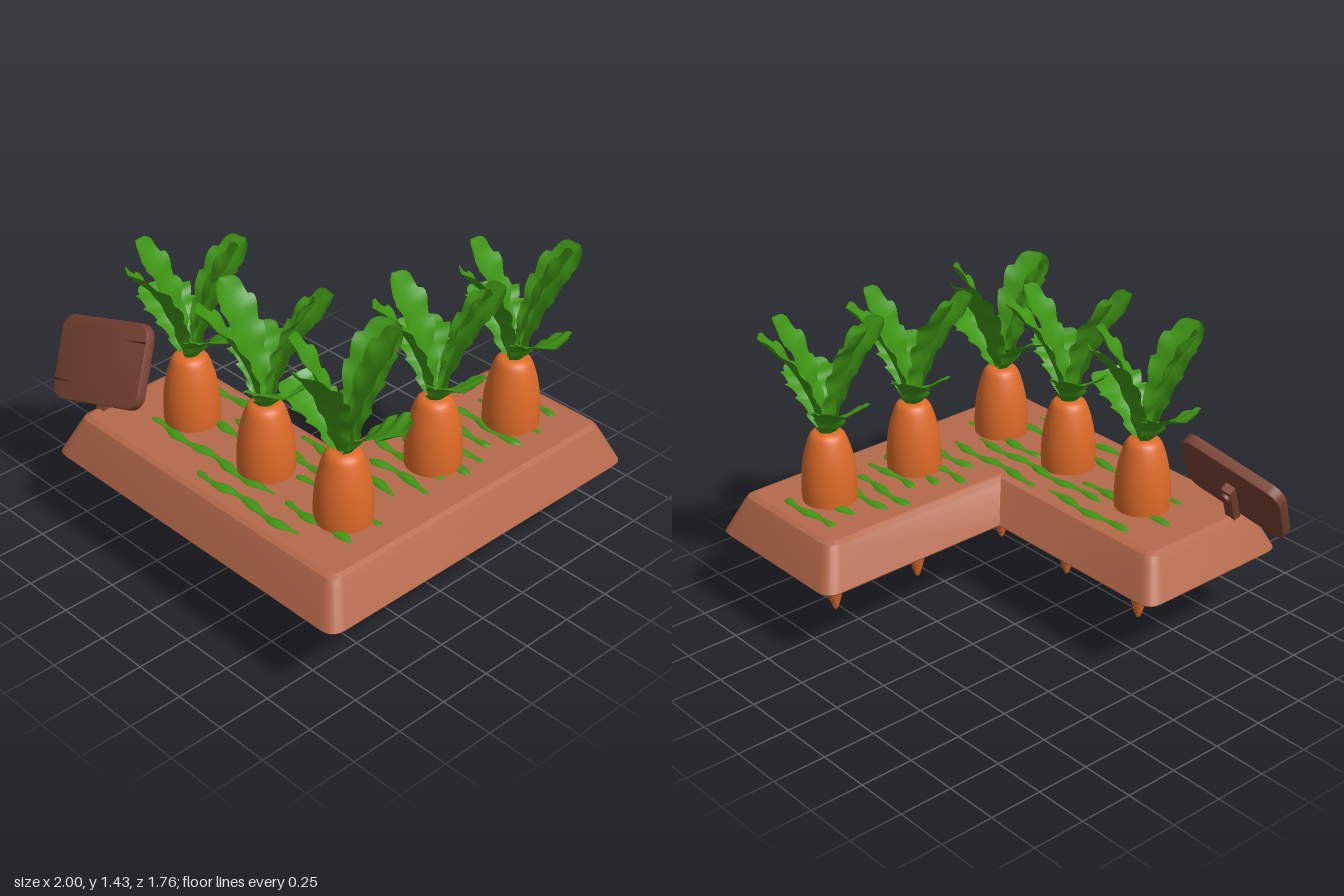
import * as THREE from 'three';
import { toCreasedNormals } from 'three/addons/utils/BufferGeometryUtils.js';

const paint = (color) => new THREE.MeshStandardMaterial({ color, side: THREE.DoubleSide });
const SOIL = paint(0xb5694a), WOOD = paint(0x784232), DARK = paint(0x3a1c14);
const CARROT = paint(0xdd6a28), LEAF = paint(0x3f9614);

function add(parent, name, geometry, material) {
  const mesh = new THREE.Mesh(geometry, material);
  mesh.name = name;
  parent.add(mesh);
  return mesh;
}

// Surface through a grid of points given by at(i, j)
function gridGeometry(rows, cols, at) {
  const pos = [], index = [];
  for (let i = 0; i <= rows; i++) {
    for (let j = 0; j <= cols; j++) {
      pos.push(...at(i, j));
      if (i < rows && j < cols) {
        const a = i * (cols + 1) + j, b = a + cols + 1;
        index.push(a, a + 1, b, a + 1, b + 1, b);
      }
    }
  }
  const g = new THREE.BufferGeometry();
  g.setAttribute('position', new THREE.Float32BufferAttribute(pos, 3));
  g.setIndex(index);
  g.computeVertexNormals();
  return g;
}

// L-shaped outline in x and z, moved inwards, with rounded outer corners
function outline(d, r) {
  const corners = [
    [-0.76 + d, 0.88 - d], [1 - d, 0.88 - d], [1 - d, -0.88 + d],
    [0.2 + d, -0.88 + d], [0.2 + d, 0.08 + d], [-0.76 + d, 0.08 + d],
  ].map(([x, z]) => new THREE.Vector2(x, z));
  const points = [];
  corners.forEach((c, i) => {
    const toward = (p) => c.clone().add(p.clone().sub(c).setLength(i === 4 ? 0.002 : r));
    const curve = new THREE.QuadraticBezierCurve(
      toward(corners[(i + 5) % 6]), c, toward(corners[(i + 1) % 6]));
    points.push(...curve.getPoints(5));
  });
  return points;
}

function addSoil(parent) {
  const levels = [[0.39, 0.005, 0.07], [0.398, 0, 0.07], [0.55, 0.068, 0.06],
    [0.576, 0.082, 0.055], [0.587, 0.105, 0.045]];
  const rings = levels.map(([, d, r]) => outline(d, r));
  const n = rings[0].length;
  const wall = gridGeometry(levels.length - 1, n, (i, j) => {
    const p = rings[i][j % n];
    return [p.x, levels[i][0], p.y];
  });
  add(parent, 'soilSides', toCreasedNormals(wall, 0.6), SOIL);
  const cap = (ring, y, turn) => {
    const s = new THREE.Shape(ring.map((p) => new THREE.Vector2(p.x, -turn * p.y)));
    return new THREE.ShapeGeometry(s).rotateX(-turn * Math.PI / 2).translate(0, y, 0);
  };
  add(parent, 'soilTop', cap(rings[4], 0.587, 1), SOIL);
  add(parent, 'soilBottom', cap(rings[0], 0.39, -1), SOIL);
}

// Arching blade with a folded middle and toothed edges, growing along +x
function leafGeometry(path, width) {
  const curve = new THREE.CatmullRomCurve3(path.map(([x, y]) => new THREE.Vector3(x, y, 0)));
  const rows = 40, cols = 6;
  return gridGeometry(rows, cols, (i, j) => {
    const t = i / rows, u = (j / cols) * 2 - 1;
    const p = curve.getPoint(t), tan = curve.getTangent(t);
    const teeth = 0.84 + 0.22 * ((t * 5 + 0.1 * Math.sign(u) + 1) % 1);
    const round = Math.sqrt(Math.max(0, 1 - Math.pow(Math.max(0, (t - 0.72) / 0.28), 2.6)));
    const w = width * (0.22 + 0.78 * Math.min(1, Math.pow(t / 0.62, 0.8))) * teeth * round;
    const lift = w * 0.25 * u * u + 0.006 * Math.sin(t * 28) * Math.abs(u);
    return [p.x - tan.y * lift, p.y + tan.x * lift, u * w];
  });
}

const tallLeaf = leafGeometry([[0.02, 0.89], [0.07, 1.07], [0.16, 1.25], [0.285, 1.39]], 0.115);
const steepLeaf = leafGeometry([[0.01, 0.89], [0.05, 1.08], [0.12, 1.27], [0.22, 1.43]], 0.1);
const lowLeaf = leafGeometry([[0.02, 0.89], [0.11, 1.01], [0.2, 1.075], [0.305, 1.115]], 0.125);

// Each leaf: shape, then its direction in x and z
const LEAVES = [
  [lowLeaf, -0.26, -0.05], [lowLeaf, 0.28, 0.04],
  [tallLeaf, -0.03, 0.28], [tallLeaf, 0.06, -0.29],
  [steepLeaf, -0.19, 0.12], [steepLeaf, 0.14, -0.15],
];

const rootGeometry = new THREE.LatheGeometry(new THREE.SplineCurve([
  [0.001, 0.002], [0.014, 0.02], [0.036, 0.1], [0.062, 0.22], [0.096, 0.39],
  [0.117, 0.52], [0.125, 0.64], [0.116, 0.76], [0.092, 0.86], [0.064, 0.91], [0.001, 0.918],
].map(([x, y]) => new THREE.Vector2(x, y))).getPoints(40), 32);

function addPlant(parent, x, z, turn) {
  const plant = new THREE.Group();
  plant.name = 'carrotPlant';
  plant.position.set(x, 0, z);
  plant.rotation.y = turn;
  add(plant, 'root', rootGeometry, CARROT);
  add(plant, 'stalk', new THREE.CylinderGeometry(0.024, 0.034, 0.06, 12), LEAF).position.y = 0.93;
  for (const [geometry, dx, dz] of LEAVES) {
    add(plant, 'leaf', geometry, LEAF).rotation.y = Math.atan2(-dz, dx);
  }
  parent.add(plant);
}

// Wavy strip of flat grass along x
function addGrass(parent, x0, x1, z) {
  const rows = Math.ceil((x1 - x0) / 0.02), cols = 6;
  const g = gridGeometry(rows, cols, (i, j) => {
    const t = i / rows, x = x0 + (x1 - x0) * t, a = (j / cols) * Math.PI;
    const end = Math.sqrt(Math.max(0, 1 - Math.pow(2 * t - 1, 6)));
    const w = (0.02 + 0.007 * Math.sin(x * 38 + z * 20)) * end;
    return [x, 0.585 + 0.55 * w * Math.sin(a), z + 0.01 * Math.sin(x * 17 + z * 9) - w * Math.cos(a)];
  });
  add(parent, 'grassStrip', g, LEAF);
}

function addSign(parent) {
  const sign = new THREE.Group();
  sign.name = 'sign';
  sign.position.set(-0.71, 0.77, 0.63);
  sign.rotation.set(-0.53, 0, 0.29);
  const a = 0.265, b = 0.189, r = 0.07, t = 0.04;
  const s = new THREE.Shape();
  s.absarc(a - r, b - r, r, 0, Math.PI / 2);
  s.absarc(r - a, b - r, r, Math.PI / 2, Math.PI);
  s.absarc(r - a, r - b, r, Math.PI, Math.PI * 1.5);
  s.absarc(a - r, r - b, r, Math.PI * 1.5, Math.PI * 2);
  const board = new THREE.ExtrudeGeometry(s, {
    depth: t, curveSegments: 6, bevelSize: 0.006, bevelThickness: 0.006, bevelOffset: -0.006, bevelSegments: 2,
  }).translate(0, 0, -t / 2);
  add(sign, 'board', toCreasedNormals(board, 0.6), WOOD);
  // Cracks in the board
  for (const side of [1, -1]) {
    const crack = new THREE.Shape([[0.262, 0.1], [0.13, 0.108], [0.262, 0.109]]
      .map(([x, y]) => new THREE.Vector2(x * side, y * side)));
    add(sign, 'crack', new THREE.ShapeGeometry(crack), DARK).position.z = t / 2 + 0.0075;
  }
  add(sign, 'post', new THREE.BoxGeometry(0.05, 0.31, 0.04), WOOD).position.set(0, -0.11, -0.045);
  const nail = add(sign, 'nail', new THREE.CylinderGeometry(0.022, 0.022, 0.02, 16), WOOD);
  nail.rotation.x = Math.PI / 2;
  nail.position.set(0, 0, -0.07);
  parent.add(sign);
}

export function createModel() {
  const model = new THREE.Group();
  model.name = 'carrotBed';
  addSoil(model);
  const plants = [[-0.325, 0.455, 0], [0.175, 0.475, -0.35], [0.64, 0.475, 0.25],
    [0.62, -0.065, -0.3], [0.635, -0.53, -0.15]];
  for (const [x, z, turn] of plants) addPlant(model, x, z, turn);
  const strips = [
    [-0.47, 0.05, 0.23], [0.1, 0.7, 0.22], [-0.2, 0.65, 0.33], [-0.55, 0.0, 0.4], [0.3, 0.8, 0.42],
    [-0.45, 0.35, 0.59], [0.4, 0.8, 0.58], [-0.01, 0.62, 0.7], [0.42, 0.78, 0.11], [0.33, 0.75, 0],
    [0.4, 0.8, -0.1], [0.45, 0.78, -0.2], [0.33, 0.72, -0.32], [0.37, 0.8, -0.42],
    [0.42, 0.8, -0.56], [0.4, 0.75, -0.69],
  ];
  for (const [x0, x1, z] of strips) addGrass(model, x0, x1, z);
  addSign(model);
  return model;
}
